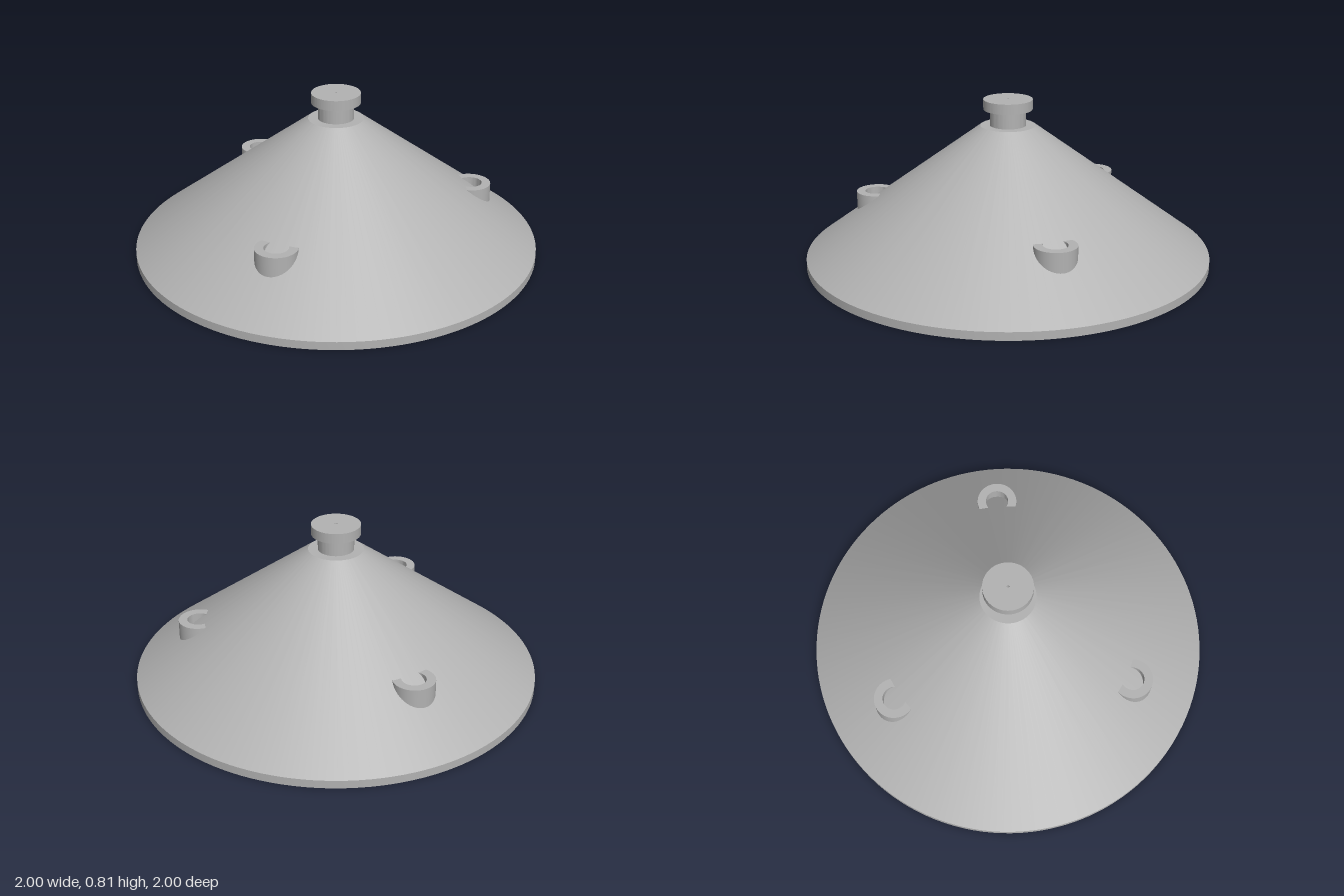
import * as THREE from 'three';
import { toCreasedNormals } from 'three/addons/utils/BufferGeometryUtils.js';

const grey = new THREE.MeshStandardMaterial({ color: 0xb2b2b2 });
grey.name = 'plain grey';

// Solid of revolution: the profile runs up the outside and down the inside
function turned(name, profile, segments) {
  const points = profile.map(([r, y]) => new THREE.Vector2(r, y));
  const geometry = toCreasedNormals(new THREE.LatheGeometry(points, segments), 0.6);
  const mesh = new THREE.Mesh(geometry, grey);
  mesh.name = name;
  return mesh;
}

export function createModel() {
  const model = new THREE.Group();
  model.name = 'conicalCover';

  // Hollow cone with neck, knob cap and a pin hole through the middle
  const pin = 0.006;
  model.add(turned('coneShellWithKnob', [
    [0.95, 0], [1, 0], [1, 0.04],             // rim
    [0.135, 0.68], [0.088, 0.68],             // slope and shoulder
    [0.088, 0.76], [0.12, 0.76], [0.12, 0.81], // neck and cap
    [pin, 0.81], [pin, 0.632],                // pin hole
    [0.13, 0.632], [0.9, 0.066],              // inside slope
    [0.935, 0.043], [0.948, 0.02], [0.95, 0], // rounded inside rim
  ], 128));

  // Three upright tubular posts passing through the slope
  for (let i = 0; i < 3; i++) {
    const angle = Math.PI + (i * Math.PI * 2) / 3;
    const post = turned('tubePost' + (i + 1), [
      [0.058, 0], [0.101, 0], [0.101, 0.3], [0.058, 0.3], [0.058, 0],
    ], 48);
    post.position.set(0.68 * Math.sin(angle), 0, 0.68 * Math.cos(angle));
    model.add(post);
  }
  return model;
}
